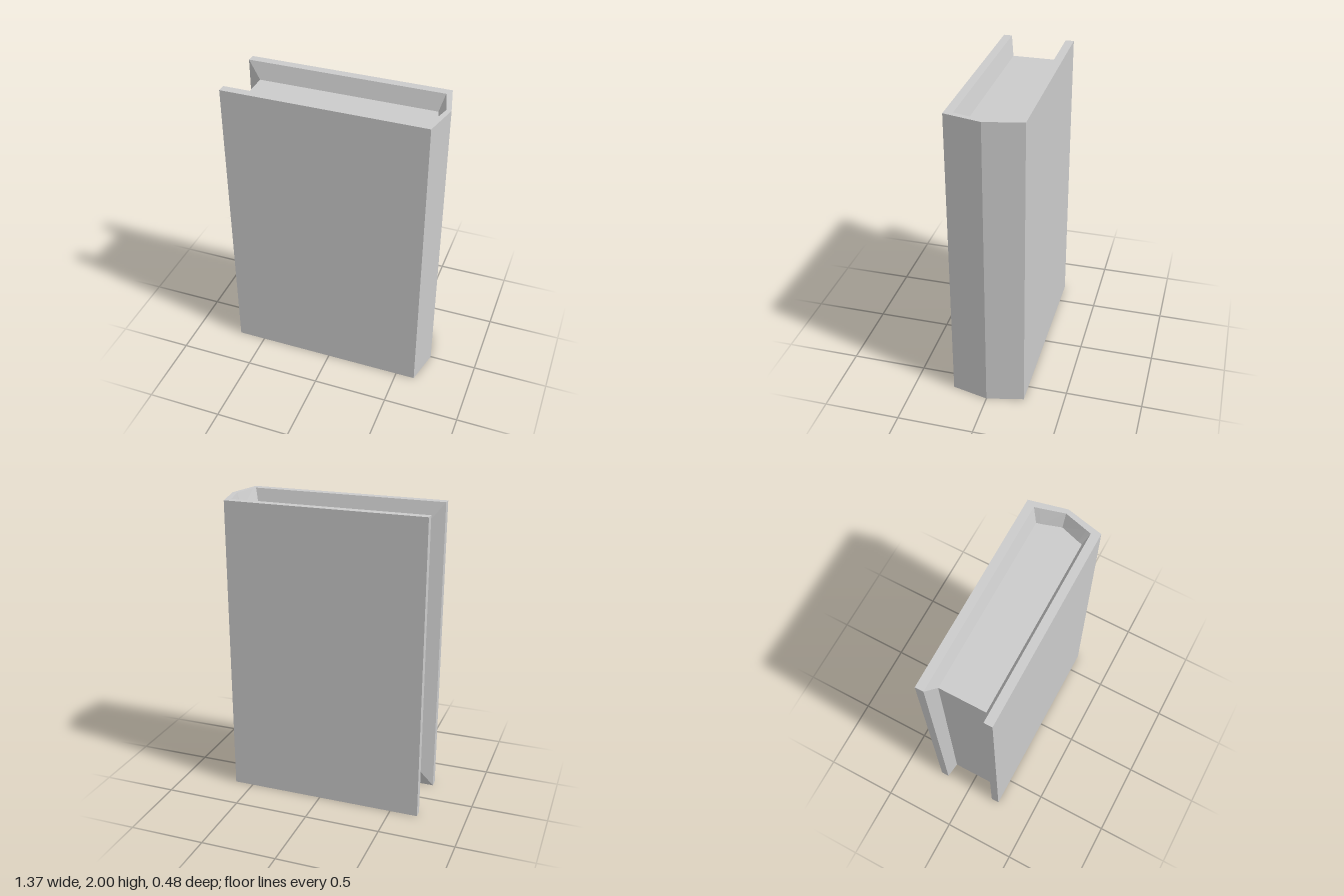
import * as THREE from 'three';

// Plan outlines as [x, z], running from the fore edge along +z to the spine ridge
const OUTER = [[-0.685, 0.24], [0.628, 0.24], [0.636, 0.205], [0.683, 0]];
const INNER = [[-0.685, 0.185], [0.602, 0.185], [0.61, 0.155], [0.652, 0]];
const PAGES = [[-0.6, 0.152], [0.571, 0.152], [0.577, 0.125], [0.617, 0]];
const HEIGHT = 2;
const INSET = 0.11; // how far the pages sit below the cover rim

// Mirror a half outline to the -z side
const whole = (half) => [...half, ...half.slice(0, -1).reverse().map(([x, z]) => [x, -z])];
const ring = (half, y) => whole(half).map(([x, z]) => [x, y, z]);

function coverGeometry() {
  const positions = [];
  const quad = (a, b, c, d) => positions.push(...a, ...b, ...c, ...a, ...c, ...d);

  // Inner bevel, rim, outer wall, rim and inner bevel as one loft
  const rings = [
    ring(PAGES, INSET), ring(INNER, 0), ring(OUTER, 0),
    ring(OUTER, HEIGHT), ring(INNER, HEIGHT), ring(PAGES, HEIGHT - INSET),
  ];
  for (let r = 0; r < rings.length - 1; r++) {
    const lo = rings[r], hi = rings[r + 1];
    for (let i = 0; i < lo.length - 1; i++) quad(lo[i], lo[i + 1], hi[i + 1], hi[i]);
  }

  // Board ends and the bevels beside the fore edge
  const last = rings[0].length - 1;
  for (let r = 0; r < 2; r++) {
    const a = rings[r], b = rings[r + 1], c = rings[4 - r], d = rings[5 - r];
    quad(a[0], b[0], c[0], d[0]);
    quad(d[last], c[last], b[last], a[last]);
  }

  const geometry = new THREE.BufferGeometry();
  geometry.setAttribute('position', new THREE.Float32BufferAttribute(positions, 3));
  geometry.computeVertexNormals();
  return geometry;
}

function pagesGeometry() {
  const shape = new THREE.Shape(whole(PAGES).map(([x, z]) => new THREE.Vector2(x, -z)));
  const geometry = new THREE.ExtrudeGeometry(shape, { depth: HEIGHT - 2 * INSET, bevelEnabled: false });
  return geometry.rotateX(-Math.PI / 2).translate(0, INSET, 0);
}

export function createModel() {
  const book = new THREE.Group();
  book.name = 'book';
  const material = new THREE.MeshStandardMaterial({ color: 0xcccccc, flatShading: true });

  const cover = new THREE.Mesh(coverGeometry(), material);
  cover.name = 'cover';
  const pages = new THREE.Mesh(pagesGeometry(), material);
  pages.name = 'pages';
  book.add(cover, pages);
  return book;
}
